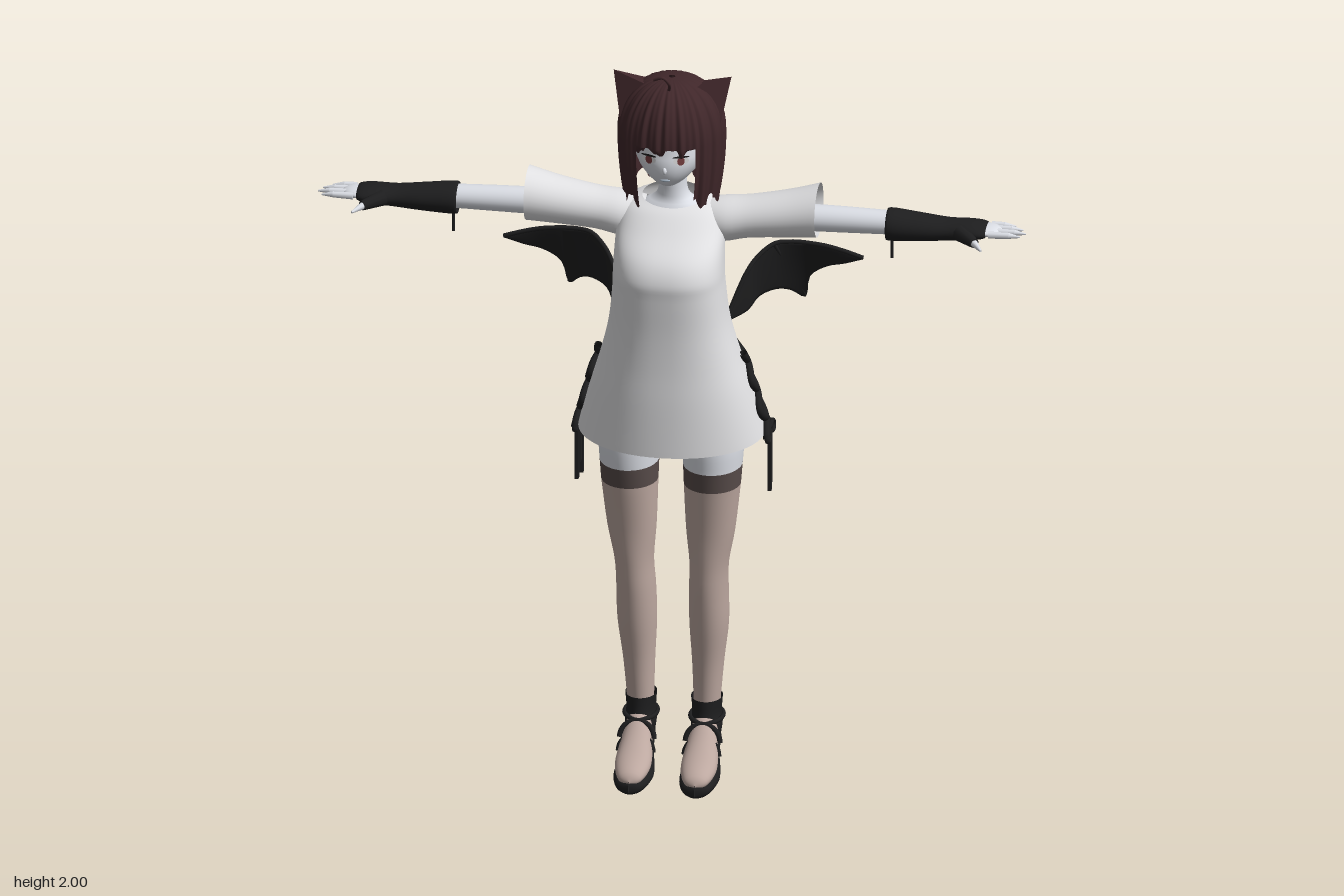
import * as THREE from 'three';
import { ParametricGeometry } from 'three/addons/geometries/ParametricGeometry.js';
import { ConvexGeometry } from 'three/addons/geometries/ConvexGeometry.js';

const V = (x, y, z) => new THREE.Vector3(x, y, z);
const mat = (name, color) => {
  const m = new THREE.MeshStandardMaterial({ color, side: THREE.DoubleSide });
  m.name = name;
  return m;
};

// Smooth interpolation through a small table of rows
function sample(rows, t) {
  const i = Math.min(Math.floor(t), rows.length - 2), f = t - i;
  const at = k => rows[Math.max(0, Math.min(rows.length - 1, k))];
  return rows[i].map((b, c) => {
    const a = at(i - 1)[c], d = at(i + 1)[c], e = at(i + 2)[c];
    return b + 0.5 * f * (d - a + f * (2 * a - 5 * b + 4 * d - e + f * (3 * (b - d) + e - a)));
  });
}

// Closed rings lofted along the table; ring(row, angle) returns a point
function loft(rows, ring, seg = 32, sub = 4) {
  const pos = [], idx = [], n = (rows.length - 1) * sub;
  for (let j = 0; j <= n; j++) {
    const row = sample(rows, j / sub);
    for (let i = 0; i < seg; i++) pos.push(...ring(row, (i / seg) * Math.PI * 2));
  }
  for (let j = 0; j < n; j++) for (let i = 0; i < seg; i++) {
    const a = j * seg + i, b = j * seg + (i + 1) % seg;
    idx.push(a, a + seg, b, b, a + seg, b + seg);
  }
  const g = new THREE.BufferGeometry();
  g.setAttribute('position', new THREE.Float32BufferAttribute(pos, 3));
  g.setIndex(idx);
  g.computeVertexNormals();
  return g;
}
const pw = (v, n) => Math.sign(v) * Math.abs(v) ** (2 / n);
// Rings around y: [y, centreX, halfX, zFront, zBack, squareness, backLift]
const upright = ([y, cx, hx, zf, zb, n = 2, lift = 0], a) => [
  cx + hx * pw(Math.sin(a), n), y + lift * (1 - Math.cos(a)) / 2,
  (zf + zb) / 2 + (zf - zb) / 2 * pw(Math.cos(a), n)];
// Rings around x: [x, yBottom, yTop, z, halfZ]
const sideways = ([x, yb, yt, z, rz], a) =>
  [x, (yb + yt) / 2 + (yt - yb) / 2 * Math.sin(a), z + rz * Math.cos(a)];
// Rings around z: [z, halfX, yBottom, yTop]
const lengthwise = ([z, hx, yb, yt], a) =>
  [0.086 + hx * Math.cos(a), (yb + yt) / 2 + (yt - yb) / 2 * Math.sin(a), z];

function rod(a, b, r1, r2, seg = 10) {
  const d = b.clone().sub(a), g = new THREE.CylinderGeometry(r2, r1, d.length(), seg);
  g.applyQuaternion(new THREE.Quaternion().setFromUnitVectors(V(0, 1, 0), d.normalize()));
  return g.translate(...a.clone().add(b).multiplyScalar(0.5).toArray());
}
const tube = (pts, r, n = 40) => new THREE.TubeGeometry(new THREE.CatmullRomCurve3(pts), n, r, 10);
const ball = (x, y, z, rx, ry, rz) => new THREE.SphereGeometry(1, 28, 20).scale(rx, ry, rz).translate(x, y, z);

// Part of the bob haircut, between two angles, down to a jagged hem
function hairPart(from, to, hem, segs) {
  return new ParametricGeometry((u, v, p) => {
    const a = from + (to - from) * u;
    const phi = Math.max(0.03, Math.min(v * 2, 1) * Math.PI / 2), low = Math.max(0, v * 2 - 1);
    const end = hem + 0.014 * Math.sin(a * 13) + 0.006 * Math.sin(a * 31);
    const strands = 1 + 0.018 * Math.sin(a * 24) + 0.012 * Math.sin(a * 41 + 1);
    const r = Math.sin(phi) ** 0.8 * strands * (1 - 0.1 * low * low);
    p.set(0.138 * r * Math.sin(a), 1.81 + 0.15 * Math.cos(phi) + (end - 1.81) * low, 0.243 + 0.14 * r * Math.cos(a));
  }, segs, 24);
}

export function createModel() {
  const M = {
    cloth: mat('pale cloth', 0xe2e2e4), skin: mat('skin', 0xdcdfe6), hair: mat('dark brown', 0x40272a),
    black: mat('black', 0x1e1e1f), stocking: mat('stocking', 0xbea9a1), band: mat('stocking band', 0x594d4b),
    iris: mat('iris', 0x7a4042), lip: mat('lip', 0xa8b6c4),
  };
  const model = new THREE.Group();
  const add = (parent, name, geo, m) => {
    const mesh = new THREE.Mesh(geo, m);
    mesh.name = name;
    parent.add(mesh);
    return mesh;
  };

  // Loose shirt dress
  add(model, 'dress', loft([
    [0.96, 0, 0.245, 0.425, 0.045, 2.1, 0.025], [1.1, 0, 0.21, 0.425, 0.085, 2.2, 0], [1.2, 0, 0.18, 0.423, 0.12, 2.3, 0],
    [1.3, 0, 0.156, 0.425, 0.148, 2.4, 0], [1.4, 0, 0.145, 0.432, 0.162, 2.5, 0], [1.45, 0, 0.143, 0.434, 0.162, 2.5, 0],
    [1.5, 0, 0.142, 0.41, 0.155, 2.4, 0], [1.55, 0, 0.14, 0.352, 0.148, 2.3, 0.005], [1.59, 0, 0.125, 0.308, 0.15, 2.1, 0.02],
    [1.605, 0, 0.08, 0.285, 0.168, 2, 0.03]], upright, 56, 5), M.cloth);
  add(model, 'neck', loft([[1.54, 0, 0.11, 0.3, 0.16], [1.595, 0, 0.085, 0.28, 0.17], [1.63, 0, 0.04, 0.265, 0.185],
    [1.72, 0, 0.036, 0.27, 0.195]], upright), M.skin);
  add(model, 'hips', ball(0, 1.07, 0.235, 0.165, 0.13, 0.12), M.skin);
  add(model, 'underwear', ball(0, 1.0, 0.235, 0.06, 0.075, 0.105), M.black);

  // Head with tapered chin
  const head = new THREE.Group();
  head.name = 'head';
  model.add(head);
  const face = new THREE.SphereGeometry(1, 36, 28), fp = face.attributes.position;
  for (let i = 0; i < fp.count; i++) {
    const t = Math.max(0, -fp.getY(i));
    fp.setXYZ(i, fp.getX(i) * 0.097 * (1 - 0.35 * t * t), 1.79 + fp.getY(i) * 0.112, 0.25 + fp.getZ(i) * 0.12 + 0.035 * t);
  }
  face.computeVertexNormals();
  add(head, 'face', face, M.skin);
  add(head, 'nose', ball(0, 1.748, 0.373, 0.006, 0.01, 0.008), M.skin);
  add(head, 'mouth', ball(0, 1.718, 0.364, 0.013, 0.004, 0.004), M.lip);
  add(head, 'backHair', hairPart(0.6, Math.PI * 2 - 0.6, 1.645, 150), M.hair);
  add(head, 'fringe', hairPart(-0.68, 0.68, 1.798, 50), M.hair);
  add(head, 'curledStrand', tube([V(0, 1.94, 0.3), V(0.005, 1.975, 0.33), V(-0.01, 1.993, 0.335), V(-0.035, 1.985, 0.33)], 0.004), M.hair);

  // Tail
  const tail = [[0.15, 1.2], [0.08, 1.2], [0.0, 1.135], [-0.09, 0.99], [-0.17, 0.915], [-0.26, 0.897], [-0.34, 0.935], [-0.39, 1.02], [-0.42, 1.1]]
    .map(([z, y]) => V(0, y, z));
  add(model, 'tail', tube(tail, 0.017, 60), M.hair);
  add(model, 'tailTip', ball(0, 1.1, -0.42, 0.017, 0.017, 0.017), M.hair);

  for (const s of [1, -1]) {
    const g = new THREE.Group();
    g.name = s > 0 ? 'leftSide' : 'rightSide';
    g.scale.x = s;
    model.add(g);

    // Cat ear and eye
    add(g, 'catEar', new ConvexGeometry([V(0.154, 1.965, 0.235), V(0.055, 1.94, 0.27), V(0.132, 1.85, 0.275),
      V(0.055, 1.93, 0.2), V(0.128, 1.86, 0.19), V(0.1, 1.92, 0.18)]), M.hair);
    const eye = (name, w, h, dy, off, m) => {
      const e = add(g, name, new THREE.CircleGeometry(1, 20).scale(w, h, 1), m);
      e.position.set(0.042, 1.776 + dy, 0.362 + off);
      e.rotation.y = 0.4;
    };
    eye('eyeWhite', 0.021, 0.012, 0, 0.003, M.cloth);
    eye('iris', 0.01, 0.012, 0, 0.005, M.iris);
    eye('eyelash', 0.023, 0.003, 0.012, 0.006, M.black);

    // Sleeve, arm, glove and hand
    add(g, 'sleeve', loft([[0.07, 1.51, 1.608, 0.22, 0.05], [0.13, 1.5, 1.618, 0.22, 0.068], [0.2, 1.514, 1.625, 0.22, 0.066],
      [0.3, 1.522, 1.645, 0.22, 0.072], [0.38, 1.527, 1.667, 0.22, 0.08]], sideways), M.cloth);
    add(g, 'arm', loft([[0.15, 1.54, 1.61, 0.225, 0.04], [0.4, 1.543, 1.612, 0.225, 0.038], [0.6, 1.548, 1.608, 0.228, 0.034]], sideways), M.skin);
    add(g, 'glove', loft([[0.565, 1.54, 1.605, 0.23, 0.035], [0.567, 1.533, 1.617, 0.23, 0.05], [0.65, 1.537, 1.608, 0.23, 0.046],
      [0.72, 1.543, 1.6, 0.23, 0.041], [0.78, 1.553, 1.6, 0.235, 0.048], [0.82, 1.562, 1.593, 0.235, 0.043], [0.825, 1.577, 1.578, 0.235, 0.001]], sideways), M.black);
    add(g, 'gloveString', rod(V(0.573, 1.48, 0.23), V(0.573, 1.545, 0.23), 0.004, 0.004), M.black);
    add(g, 'palm', ball(0.82, 1.578, 0.235, 0.042, 0.013, 0.038), M.skin);
    [[0.2, 0.893], [0.222, 0.915], [0.245, 0.925], [0.267, 0.913]].forEach(([z, end]) => {
      add(g, 'finger', rod(V(0.83, 1.577, z), V(end - 0.03, 1.578, z), 0.0095, 0.008), M.skin);
      add(g, 'fingertip', rod(V(end - 0.03, 1.578, z), V(end, 1.576, z), 0.008, 0.002), M.skin);
    });
    add(g, 'thumbSleeve', rod(V(0.755, 1.574, 0.26), V(0.8, 1.57, 0.31), 0.022, 0.013), M.black);
    add(g, 'thumb', rod(V(0.798, 1.57, 0.308), V(0.822, 1.565, 0.345), 0.01, 0.003), M.skin);

    // Bat wing: [x, topY, bottomY, topZ, bottomZ]
    const wing = [[0.13, 1.25, 1.235, 0.15, 0.15], [0.175, 1.36, 1.245, 0.11, 0.095], [0.2, 1.395, 1.272, 0.085, 0.06],
      [0.24, 1.424, 1.284, 0.06, 0.035], [0.275, 1.428, 1.273, 0.052, 0.01], [0.31, 1.428, 1.245, 0.05, -0.017],
      [0.325, 1.427, 1.315, 0.05, 0.01], [0.37, 1.422, 1.352, 0.05, 0.025], [0.42, 1.41, 1.37, 0.05, 0.04], [0.47, 1.394, 1.39, 0.05, 0.05]];
    add(g, 'wing', loft(wing, ([x, ty, by, tz, bz], a) => {
      const k = (1 + Math.cos(a)) / 2;
      return [x, by + (ty - by) * k, bz + (tz - bz) * k + 0.003 * Math.sin(a)];
    }, 12, 3), M.black);
    add(g, 'wingArm', tube(wing.map(w => V(w[0], w[1], w[3])), 0.006), M.black);
    add(g, 'wingFinger', rod(V(0.24, 1.42, 0.06), V(0.31, 1.25, -0.015), 0.005, 0.003), M.black);

    // Side lacing following the dress
    const onDress = (y, z) => {
      const t = (1.2 - y) / 0.24, q = (z - (0.27 - 0.035 * t)) / (0.15 + 0.04 * t);
      return V((0.18 + 0.065 * t) * Math.sqrt(1 - q * q) + 0.009, y, z);
    };
    for (const d of [1, -1]) {
      const pts = [];
      for (let i = 0; i <= 24; i++) pts.push(onDress(1.2 - i * 0.01, 0.218 + d * 0.044 * Math.cos(i * Math.PI / 8)));
      add(g, 'lace', tube(pts, 0.0105, 72), M.black);
      const bow = add(g, 'bowLoop', new THREE.TorusGeometry(0.026, 0.007, 8, 20).scale(1, 0.6, 1), M.black);
      bow.position.set(0.252, 0.965, 0.21 + d * 0.028);
      bow.rotation.set(d * 0.4, Math.PI / 2, 0);
    }
    [[0.178, 0.8], [0.2, 0.84], [0.222, 0.8]].forEach(([z, end], i) => {
      const h = 0.97 - end;
      add(g, 'ribbonEnd', new THREE.BoxGeometry(0.01, h, 0.018).translate(0.246 + i * 0.003, end + h / 2, z), M.black);
    });

    // Leg, split into thigh, band and stocking
    const leg = [[1.08, 0.09, 0.08, 0.34, 0.13], [0.97, 0.108, 0.081, 0.355, 0.15], [0.885, 0.109, 0.077, 0.35, 0.167],
      [0.83, 0.108, 0.074, 0.341, 0.178], [0.7, 0.103, 0.064, 0.32, 0.19], [0.6, 0.098, 0.051, 0.31, 0.187],
      [0.52, 0.095, 0.051, 0.303, 0.168], [0.42, 0.094, 0.051, 0.288, 0.158], [0.3, 0.09, 0.041, 0.265, 0.165], [0.16, 0.086, 0.033, 0.25, 0.175]];
    add(g, 'thigh', loft(leg.slice(0, 3), upright), M.skin);
    add(g, 'stockingBand', loft(leg.slice(2, 4), upright), M.band);
    add(g, 'stocking', loft(leg.slice(3), upright), M.stocking);

    // Foot and heeled shoe
    add(g, 'foot', loft([[0.424, 0.001, 0.035, 0.04], [0.41, 0.03, 0.025, 0.062], [0.36, 0.046, 0.025, 0.088], [0.31, 0.045, 0.03, 0.122],
      [0.25, 0.035, 0.06, 0.17], [0.2, 0.032, 0.08, 0.17], [0.165, 0.02, 0.09, 0.14], [0.16, 0.001, 0.11, 0.12]], lengthwise), M.stocking);
    add(g, 'sole', loft([[0.428, 0.001, 0.01, 0.03], [0.41, 0.035, 0, 0.042], [0.35, 0.051, 0, 0.05], [0.3, 0.049, 0.002, 0.062],
      [0.25, 0.039, 0.035, 0.09], [0.2, 0.036, 0.06, 0.112], [0.16, 0.025, 0.062, 0.12], [0.152, 0.001, 0.08, 0.11]], lengthwise), M.black);
    add(g, 'heel', rod(V(0.086, 0, 0.178), V(0.086, 0.08, 0.175), 0.008, 0.02, 16), M.black);
    add(g, 'ankleCuff', loft([[0.1, 0.086, 0.037, 0.275, 0.158], [0.135, 0.086, 0.041, 0.272, 0.152],
      [0.165, 0.086, 0.038, 0.262, 0.153], [0.205, 0.086, 0.041, 0.26, 0.157]], upright), M.black);
    for (const [y, z] of [[0.075, 0.305], [0.105, 0.285]]) {
      const strap = add(g, 'strap', new THREE.TorusGeometry(0.045, 0.007, 8, 24, Math.PI), M.black);
      strap.position.set(0.086, y, z);
      strap.rotation.x = -0.3;
    }
    add(g, 'ankleStrap', new THREE.TorusGeometry(0.045, 0.006, 8, 28).rotateX(Math.PI / 2).scale(0.95, 1, 1.3).translate(0.086, 0.15, 0.21), M.black);
  }
  return model;
}
